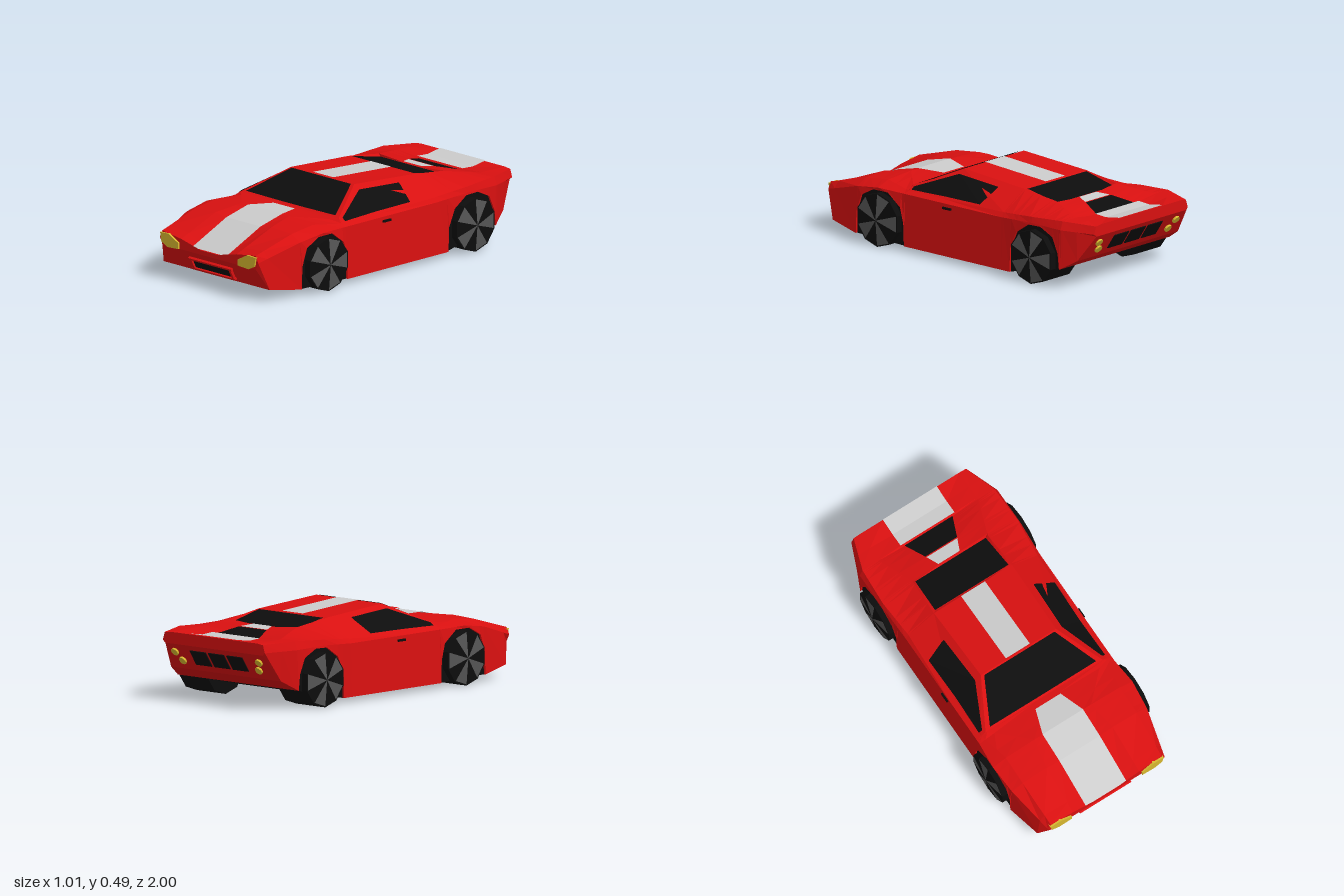
import * as THREE from 'three';

const mat = (color) => new THREE.MeshStandardMaterial({ color, flatShading: true, side: THREE.DoubleSide });
const RED = mat(0xd81010), BLACK = mat(0x0d0d0d), GREY = mat(0xcccccc), GOLD = mat(0xd8b830), RIM = mat(0x555555);
const { lerp } = THREE.MathUtils;

// Shell by z: side crease, shoulder, roof edge (x, y each)
const SHELL = [
  [0.99, 0.39, 0.23, 0.37, 0.27, 0.22, 0.25],
  [0.72, 0.45, 0.31, 0.38, 0.345, 0.22, 0.352],
  [0.55, 0.465, 0.335, 0.38, 0.365, 0.19, 0.377],
  [0.39, 0.45, 0.33, 0.41, 0.345, 0.35, 0.36],
  [0.36, 0.45, 0.33, 0.42, 0.345, 0.39, 0.366],
  [0.1, 0.45, 0.33, 0.42, 0.345, 0.25, 0.485],
  [-0.36, 0.45, 0.33, 0.43, 0.355, 0.26, 0.455],
  [-0.59, 0.46, 0.343, 0.45, 0.375, 0.25, 0.425],
  [-0.81, 0.46, 0.34, 0.44, 0.388, 0.33, 0.388],
  [-1, 0.39, 0.335, 0.375, 0.38, 0.33, 0.385],
];
// Edge of the centre panels by z (x, y)
const CENTRE = [
  [0.99, 0.135, 0.215], [0.72, 0.135, 0.335], [0.55, 0.135, 0.375], [0.39, 0.08, 0.365], [0.36, 0.08, 0.363],
  [0.1, 0.08, 0.485], [-0.36, 0.08, 0.456], [-0.37, 0.245, 0.45], [-0.59, 0.235, 0.405], [-0.6, 0.07, 0.41],
  [-0.68, 0.105, 0.4], [-0.81, 0.16, 0.367], [-0.82, 0.18, 0.375], [-0.9, 0.18, 0.37], [-1, 0.18, 0.385],
];
// Wheel arch outlines (z, y)
const FRONT_ARCH = [[0.72, 0.04], [0.715, 0.17], [0.68, 0.27], [0.59, 0.318], [0.48, 0.318], [0.39, 0.25], [0.365, 0.16], [0.36, 0.03]];
const REAR_ARCH = [[-0.43, 0.03], [-0.435, 0.17], [-0.48, 0.27], [-0.57, 0.33], [-0.66, 0.333], [-0.75, 0.29], [-0.79, 0.2], [-0.8, 0.11]];
// Lower body corner by z (x, y)
const sill = ([z, y]) => [z, 0.462, y];
const BOTTOM = [[0.99, 0.37, 0.19], [0.93, 0.42, 0.07], ...FRONT_ARCH.map(sill), ...REAR_ARCH.map(sill),
  [-0.9, 0.42, 0.17], [-1, 0.37, 0.32]];

// Linear lookup in a table sorted by falling z
function sample(table, z) {
  let k = 0;
  while (k < table.length - 2 && table[k + 1][0] > z) k++;
  const a = table[k], b = table[k + 1], t = (a[0] - z) / (a[0] - b[0]);
  return a.map((v, i) => lerp(v, b[i], t));
}

// Half section: lower corner, crease, shoulder, roof edge, panel edge
function halfSection(z) {
  const s = sample(SHELL, z);
  return [sample(BOTTOM, z).slice(1), s.slice(1, 3), s.slice(3, 5), s.slice(5), sample(CENTRE, z).slice(1)];
}

// Point on the body; u counts along the half section, 5 is the centre line
function onBody(z, u) {
  const pts = halfSection(z);
  pts.push([0, pts[4][1]]);
  const k = Math.min(4, Math.floor(u)), f = u - k;
  return [lerp(pts[k][0], pts[k + 1][0], f), lerp(pts[k][1], pts[k + 1][1], f), z];
}

function mesh(parent, name, geo, material, x = 0, y = 0, z = 0) {
  const m = new THREE.Mesh(geo, material);
  m.name = name;
  m.position.set(x, y, z);
  parent.add(m);
  return m;
}

function surface(pos, index) {
  const g = new THREE.BufferGeometry();
  g.setAttribute('position', new THREE.Float32BufferAttribute(pos, 3));
  g.setIndex(index);
  g.computeVertexNormals();
  return g;
}

// Loft of mirrored sections from nose to tail, with end caps
function bodyGeometry() {
  const zs = [...new Set([...SHELL, ...CENTRE, ...BOTTOM].map((r) => r[0]))].sort((a, b) => b - a);
  const pos = [], index = [], n = 10;
  for (const z of zs) {
    const half = halfSection(z);
    const ring = [...half, ...half.map(([x, y]) => [-x, y]).reverse()];
    ring.forEach(([x, y]) => pos.push(x, y, z));
  }
  const last = (zs.length - 1) * n, c = zs.length * n;
  pos.push(0, 0.2, zs[0], 0, 0.35, -1);
  for (let j = 0; j < n; j++) {
    const j2 = (j + 1) % n;
    for (let a = 0; a < last; a += n) index.push(a + j, a + n + j, a + j2, a + j2, a + n + j, a + n + j2);
    index.push(c, j, j2, c + 1, last + j2, last + j);
  }
  return surface(pos, index);
}

// Panel lying on the body; rows are [z, u0, u1]; mirrored to both sides
function panel(parent, name, material, rows, out = 0, up = 0.005) {
  for (const s of [1, -1]) {
    const pos = [], index = [];
    rows.forEach(([z, u0, u1], k) => {
      for (const u of [u0, u1]) {
        const p = onBody(z, u);
        pos.push(s * (p[0] + out), p[1] + up, p[2]);
      }
      const a = 2 * k;
      if (k) index.push(...(s > 0 ? [a - 2, a, a - 1, a - 1, a, a + 1] : [a - 2, a - 1, a, a - 1, a + 1, a]));
    });
    mesh(parent, name, surface(pos, index), material);
  }
}

function wheel(parent, side, z) {
  const g = new THREE.Group();
  g.name = 'wheel';
  g.position.set(side * 0.38, 0.155, z);
  g.rotation.z = -side * Math.PI / 2;
  parent.add(g);
  const step = Math.PI / 5;
  mesh(g, 'tyre', new THREE.CylinderGeometry(0.155, 0.155, 0.22, 10, 1, false, step / 2), BLACK);
  for (let i = 0; i < 5; i++)
    mesh(g, 'rimBlade', new THREE.ConeGeometry(0.148, 0.014, 1, 1, true, step / 2 + i * 2 * step, step), RIM, 0, 0.118);
}

export function createModel() {
  const car = new THREE.Group();
  car.name = 'sportsCar';
  mesh(car, 'body', bodyGeometry(), RED);

  // Wheel wells and wheels
  for (const [arch, z] of [[FRONT_ARCH, 0.535], [REAR_ARCH, -0.615]]) {
    const shape = new THREE.Shape(arch.map((p) => new THREE.Vector2(...p)));
    const well = mesh(car, 'wheelWell', new THREE.ExtrudeGeometry(shape, { depth: 0.9, bevelEnabled: false }), BLACK, 0.45);
    well.rotation.y = -Math.PI / 2;
    for (const s of [1, -1]) wheel(car, s, z);
  }

  // Centre panels: stripes, glass and engine vent
  const centre = (name, material, ...zs) => panel(car, name, material, zs.map((z) => [z, 4, 5]));
  centre('bonnetStripe', GREY, 0.99, 0.72, 0.55, 0.4);
  centre('roofStripe', GREY, 0.095, -0.36);
  centre('deckStripe', GREY, -0.602, -0.675);
  centre('tailStripe', GREY, -0.82, -0.9, -1);
  centre('windscreen', BLACK, 0.35, 0.11);
  centre('rearWindow', BLACK, -0.372, -0.588);
  centre('engineVent', BLACK, -0.682, -0.81);

  // Outer windscreen and side windows
  panel(car, 'windscreen', BLACK, [[0.35, 3.1, 4], [0.11, 3.12, 4]]);
  panel(car, 'sideWindow', BLACK, [[0.34, 2.1, 2.6], [0.1, 2.06, 2.8], [-0.17, 2.06, 2.78], [-0.2, 2.7, 2.78]], 0.005);

  // Nose intake
  const intake = new THREE.Group();
  intake.name = 'frontIntake';
  intake.position.set(0, 0.122, 0.954);
  intake.rotation.x = 0.46;
  car.add(intake);
  mesh(intake, 'intakeOpening', new THREE.BoxGeometry(0.29, 0.055, 0.016), BLACK);
  for (const s of [1, -1]) {
    mesh(intake, 'intakeFrame', new THREE.BoxGeometry(0.34, 0.012, 0.036), RED, 0, s * 0.034);
    mesh(intake, 'intakeFrame', new THREE.BoxGeometry(0.016, 0.06, 0.036), RED, s * 0.155);
  }

  // Tail panel with three grilles
  const tail = new THREE.Group();
  tail.name = 'tailPanel';
  tail.position.set(0, 0.25, -0.953);
  tail.rotation.x = -0.588;
  car.add(tail);
  for (const x of [-0.14, 0, 0.14]) mesh(tail, 'rearGrille', new THREE.BoxGeometry(0.12, 0.1, 0.012), BLACK, x);

  for (const s of [1, -1]) {
    // Round tail lights
    for (const [x, y] of [[0.32, 0.03], [0.29, -0.03]]) {
      const lamp = mesh(tail, 'tailLight', new THREE.CylinderGeometry(0.024, 0.024, 0.024, 10), GOLD, s * x, y, 0);
      lamp.rotation.x = Math.PI / 2;
    }
    // Headlights
    const outline = [[0.235, 0.19], [0.32, 0.185], [0.368, 0.208], [0.378, 0.262], [0.31, 0.264], [0.235, 0.225]];
    const shape = new THREE.Shape(outline.map(([x, y]) => new THREE.Vector2(s * x, y)));
    mesh(car, 'headlight', new THREE.ExtrudeGeometry(shape, { depth: 0.03, bevelEnabled: false }), GOLD, 0, 0, 0.97);
    // Door handles
    mesh(car, 'doorHandle', new THREE.BoxGeometry(0.016, 0.012, 0.06), BLACK, s * 0.453, 0.305, 0.045);
  }
  return car;
}
